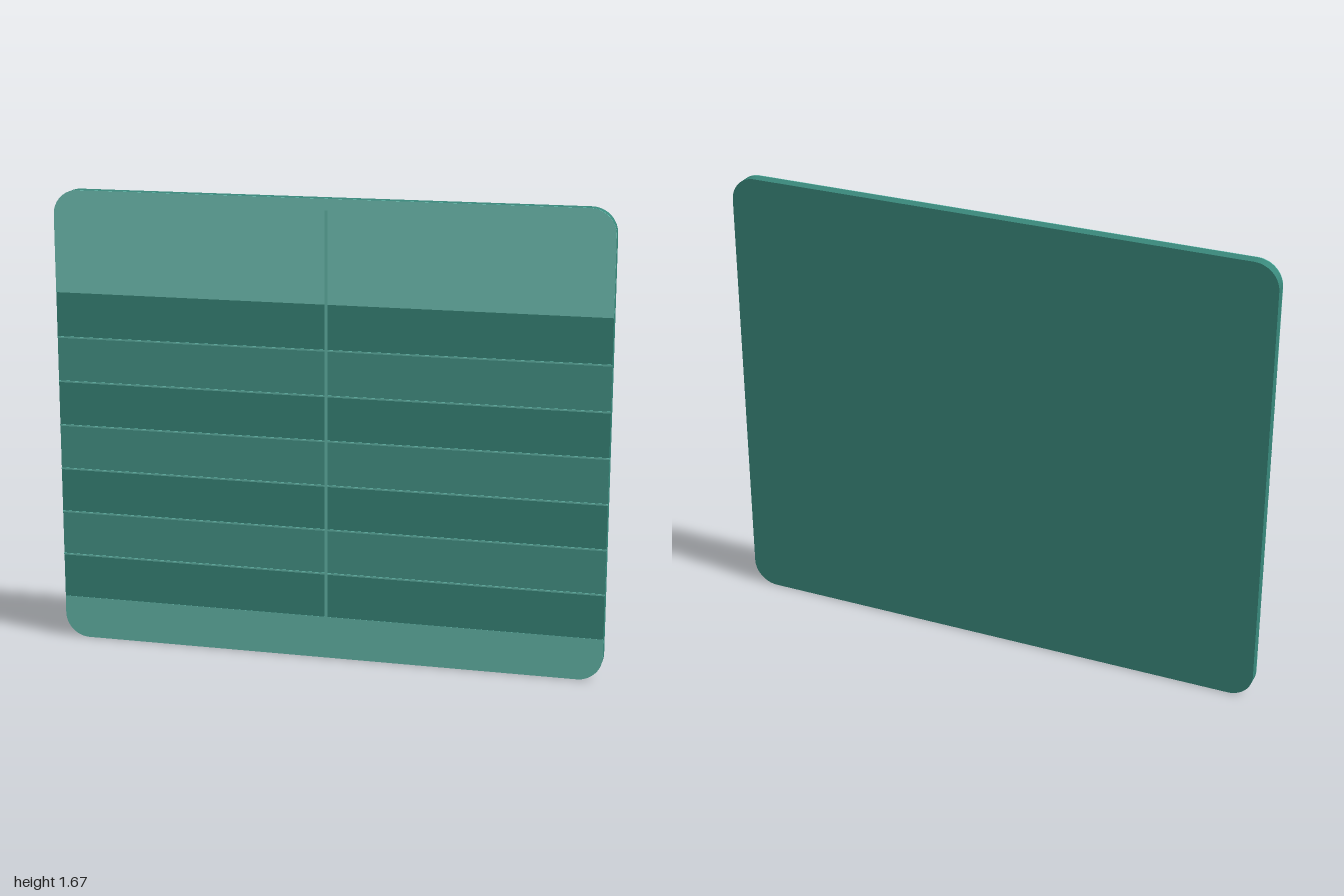
import * as THREE from 'three';

const W = 2, H = 1.67, R = 0.09;
const BACK = -0.024, FACE = 0.016;
const ROW_TOP = 1.3, ROW_BOTTOM = 0.155, ROWS = 7;

// Panel outline between two heights, with optional rounded top and bottom corners
function panelShape(y0, y1, rBottom, rTop) {
  const x = W / 2, s = new THREE.Shape();
  s.moveTo(-x + rBottom, y0);
  s.lineTo(x - rBottom, y0);
  if (rBottom) s.absarc(x - rBottom, y0 + rBottom, rBottom, -Math.PI / 2, 0);
  s.lineTo(x, y1 - rTop);
  if (rTop) s.absarc(x - rTop, y1 - rTop, rTop, 0, Math.PI / 2);
  s.lineTo(-x + rTop, y1);
  if (rTop) s.absarc(-x + rTop, y1 - rTop, rTop, Math.PI / 2, Math.PI);
  s.lineTo(-x, y0 + rBottom);
  if (rBottom) s.absarc(-x + rBottom, y0 + rBottom, rBottom, Math.PI, Math.PI * 1.5);
  return s;
}

export function createModel() {
  const model = new THREE.Group();
  model.name = 'rowBoard';
  const paint = (color) => new THREE.MeshStandardMaterial({ color });
  const dark = paint(0x39887b), mid = paint(0x46978a);
  const light = paint(0x74c8ba), pale = paint(0x65baac);

  const add = (name, geometry, material) => {
    const mesh = new THREE.Mesh(geometry, material);
    mesh.name = name;
    model.add(mesh);
  };
  const slab = (name, shape, z0, z1, material) => {
    const g = new THREE.ExtrudeGeometry(shape, { depth: z1 - z0, bevelEnabled: false, curveSegments: 12 });
    add(name, g.translate(0, 0, z0), material);
  };
  const bar = (name, width, y0, y1, z1, material) => {
    const g = new THREE.BoxGeometry(width, y1 - y0, z1 - FACE);
    add(name, g.translate(0, (y0 + y1) / 2, (FACE + z1) / 2), material);
  };

  // Backing board with rounded corners
  slab('backingBoard', panelShape(0, H, R, R), BACK, FACE, dark);

  // Header and footer plates
  slab('headerPlate', panelShape(ROW_TOP, H, 0, R), FACE, 0.019, light);
  slab('footerPlate', panelShape(0, ROW_BOTTOM, R, 0), FACE, 0.019, pale);

  // Alternating rows, with thin rules between them
  const pitch = (ROW_TOP - ROW_BOTTOM) / ROWS;
  for (let i = 0; i < ROWS; i++) {
    const top = ROW_TOP - i * pitch;
    bar(`row${i + 1}`, W, top - pitch, top, 0.018, i % 2 ? mid : dark);
    if (i) bar(`rowRule${i}`, W, top - 0.003, top + 0.003, 0.021, pale);
  }

  // Vertical rule splitting the two columns
  bar('columnDivider', 0.01, 0.04, 1.63, 0.022, pale);

  return model;
}
